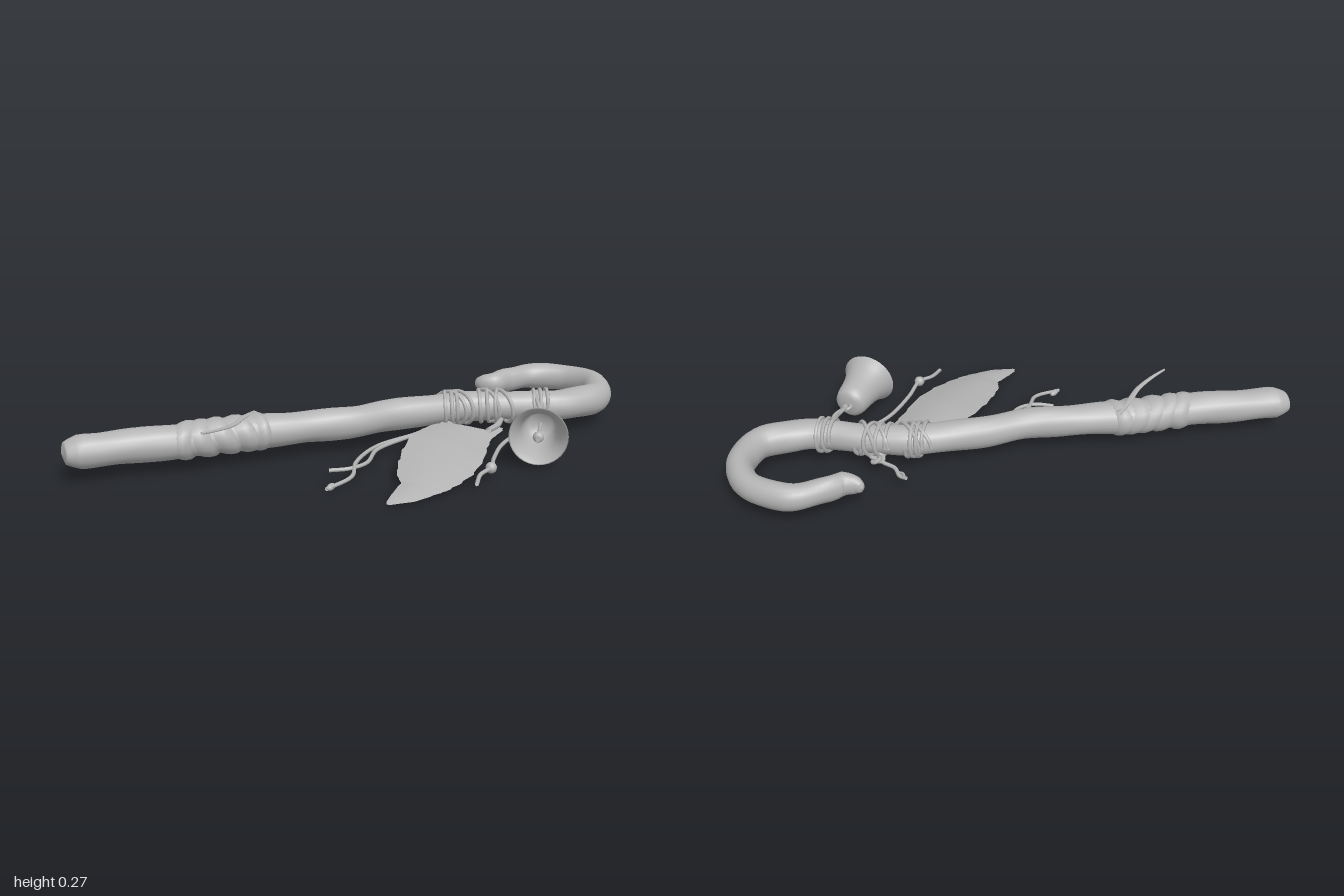
import * as THREE from 'three';

const grey = new THREE.MeshStandardMaterial({ color: 0xb3b3b3, side: THREE.DoubleSide });
grey.name = 'grey';
const V = (x, y, z) => new THREE.Vector3(x, y, z);
const MID = 0.14; // height of the staff's centre line

// staff stations: x, z, sideways radius, vertical radius
const stations = [
  [-0.857, 0.99, 0, 0], [-0.85, 0.98, 0.055, 0.045], [-0.815, 0.938, 0.074, 0.07], [-0.69, 0.81, 0.072, 0.073],
  [-0.53, 0.65, 0.078, 0.073], [-0.3, 0.395, 0.078, 0.073], [-0.145, 0.25, 0.066, 0.07], [0.0, 0.1, 0.066, 0.07],
  [0.125, -0.08, 0.066, 0.07], [0.295, -0.265, 0.07, 0.068], [0.425, -0.37, 0.064, 0.066], [0.61, -0.465, 0.062, 0.066],
  [0.75, -0.575, 0.075, 0.07], [0.825, -0.71, 0.066, 0.07], [0.785, -0.86, 0.062, 0.07], [0.62, -0.945, 0.053, 0.064],
  [0.455, -0.895, 0.056, 0.06], [0.37, -0.78, 0.047, 0.056], [0.34, -0.7, 0.047, 0.054], [0.29, -0.672, 0.032, 0.042],
  [0.26, -0.672, 0.018, 0.024], [0.25, -0.675, 0, 0],
];
const path = new THREE.CatmullRomCurve3(stations.map(s => V(s[0], MID, s[1])));

// point on the staff at station s (fractional), angle a, lifted by some distance
function staffPoint(s, a, lift = 0) {
  const last = stations.length - 1;
  const c = THREE.MathUtils.clamp(s, 0, last);
  const i = Math.min(Math.floor(c), last - 1), f = c - i;
  const r = THREE.MathUtils.lerp(stations[i][2], stations[i + 1][2], f) + lift;
  const h = THREE.MathUtils.lerp(stations[i][3], stations[i + 1][3], f) + lift;
  const t = path.getTangent(c / last);
  const n = V(0, 1, 0).cross(t).normalize();
  return path.getPoint(c / last).addScaledVector(n, r * Math.cos(a)).add(V(0, h * Math.sin(a), 0));
}

// grid of points at(u, v) with u and v from 0 to 1
function surface(at, nu, nv, closed = false) {
  const pos = [], index = [], row = closed ? nv : nv + 1;
  for (let i = 0; i <= nu; i++)
    for (let j = 0; j < row; j++) pos.push(...at(i / nu, j / nv).toArray());
  for (let i = 0; i < nu; i++)
    for (let j = 0; j < nv; j++) {
      const k = (j + 1) % row;
      const a = i * row + j, b = (i + 1) * row + j, c = i * row + k, d = (i + 1) * row + k;
      index.push(a, c, b, b, c, d);
    }
  const g = new THREE.BufferGeometry();
  g.setAttribute('position', new THREE.Float32BufferAttribute(pos, 3));
  g.setIndex(index);
  g.computeVertexNormals();
  return g;
}

export function createModel() {
  const model = new THREE.Group();
  model.name = 'crookedStaff';
  const add = (name, geometry, parent = model) => {
    const m = new THREE.Mesh(geometry, grey);
    m.name = name;
    parent.add(m);
    return m;
  };
  const cord = (name, pts, r = 0.009) => {
    const curve = new THREE.CatmullRomCurve3(pts.map(p => (p.isVector3 ? p : V(...p))));
    return add(name, new THREE.TubeGeometry(curve, pts.length * 6, r, 6));
  };
  const ball = (name, r, x, y, z, parent) => {
    const m = add(name, new THREE.SphereGeometry(r, 12, 8), parent);
    m.position.set(x, y, z);
    return m;
  };

  // gnarled wooden staff with a hooked end
  const last = stations.length - 1;
  add('staff', surface((u, v) => {
    const s = u * last, a = v * Math.PI * 2;
    const knots = s > 2 && s < 18 ? 0.003 * Math.sin(s * 4.1 + 2 * Math.cos(a)) : 0;
    return staffPoint(s, a, knots);
  }, 126, 18, true));

  // leather grip: overlapping slanted bands
  for (let i = 0; i < 5; i++) {
    const s0 = 3.95 + i * 0.22;
    add('gripBand', surface((u, v) => {
      const a = v * Math.PI * 2;
      const lift = [-0.006, 0.004, 0.01, 0.008, -0.006][Math.round(u * 4)];
      return staffPoint(s0 + u * 0.3 + 0.09 * Math.cos(a + i * 0.8), a, lift);
    }, 4, 20, true));
  }

  // loose end of the grip leather
  const strap = new THREE.CatmullRomCurve3([
    V(-0.345, 0.205, 0.35), V(-0.335, 0.215, 0.45), V(-0.315, 0.218, 0.56), V(-0.325, 0.228, 0.67), V(-0.342, 0.236, 0.74)]);
  add('gripTail', surface((u, v) => {
    const a = v * Math.PI * 2, w = 0.015 * (1 - 0.7 * u * u);
    return strap.getPoint(u).add(V(w * Math.cos(a), 0.006 * Math.sin(a), 0));
  }, 16, 8, true));

  // cord windings: start station, end station, turns, slant
  [[8.85, 9.25, 3, 0.12], [9.0, 9.45, 2, -0.2], [9.75, 10.4, 3, 0.1],
    [9.95, 10.55, 2, -0.18], [11.0, 11.4, 2.5, 0.08]].forEach(([s0, s1, turns, slant]) => {
    const pts = [];
    const n = Math.round(turns * 12);
    for (let i = 0; i <= n; i++) {
      const a = (i / n) * turns * Math.PI * 2;
      pts.push(staffPoint(s0 + (s1 - s0) * i / n + slant * Math.cos(a), a, 0.007));
    }
    cord('cordWinding', pts, 0.009);
  });

  // hanging cord ends
  cord('leftCordLong', [[0.27, 0.08, -0.22], [0.22, 0.065, -0.08], [0.13, 0.06, 0.13], [0.135, 0.055, 0.33], [0.175, 0.04, 0.44], [0.13, 0.025, 0.57]]);
  cord('leftCordShort', [[0.3, 0.08, -0.2], [0.21, 0.07, 0.0], [0.15, 0.06, 0.17], [0.17, 0.05, 0.3], [0.13, 0.045, 0.38], [0.06, 0.04, 0.425]]);
  ball('leftCordKnot', 0.014, 0.135, 0.025, 0.54).scale.z = 2;
  cord('rightCord', [[0.645, 0.08, -0.37], [0.61, 0.065, -0.26], [0.6, 0.06, -0.13], [0.635, 0.065, 0.05], [0.67, 0.075, 0.165], [0.655, 0.07, 0.24], [0.672, 0.06, 0.32]]);
  ball('rightCordBead', 0.024, 0.67, 0.075, 0.165);
  cord('backCord', [[0.43, 0.09, -0.41], [0.37, 0.08, -0.43], [0.3, 0.075, -0.425], [0.25, 0.07, -0.45], [0.215, 0.07, -0.445]]);
  cord('backCordFork', [[0.27, 0.073, -0.44], [0.24, 0.08, -0.44], [0.215, 0.085, -0.46]], 0.007);

  // knots
  [[0.395, 0.09, -0.435], [0.645, 0.085, -0.375], [0.31, 0.08, -0.19]].forEach(p => {
    const k = add('knot', new THREE.TorusKnotGeometry(0.02, 0.009, 40, 6, 2, 3));
    k.position.set(...p);
    k.rotation.x = Math.PI / 2;
  });

  // feather: left edge x, right edge x at each z, ragged and cupped
  const vane = [[-0.32, 0.495, 0.535], [-0.235, 0.48, 0.535], [-0.195, 0.37, 0.535], [-0.165, 0.305, 0.54], [-0.08, 0.272, 0.56],
    [0.055, 0.255, 0.597], [0.19, 0.278, 0.607], [0.3, 0.312, 0.59], [0.375, 0.345, 0.568], [0.42, 0.39, 0.545], [0.51, 0.395, 0.498], [0.585, 0.405, 0.42]];
  const featherPoint = (u, v, drop) => {
    const f = u * (vane.length - 1), i = Math.min(Math.floor(f), vane.length - 2), k = f - i;
    const [z, l, r] = vane[i].map((q, n) => THREE.MathUtils.lerp(q, vane[i + 1][n], k));
    const rag = 0.008 * ((u * 13) % 1) * Math.sin(u * Math.PI);
    const x = THREE.MathUtils.lerp(l + rag, r - rag, v);
    const droop = 0.11 * Math.max(0, z - 0.05) ** 1.1;
    const tilt = -0.2 * (x - 0.43) * (1 - 0.6 * u);
    const cup = 0.02 * Math.sin(v * Math.PI) * Math.sin(u * Math.PI);
    return V(x, 0.085 + tilt + cup - droop - drop, z);
  };
  add('featherTop', surface((u, v) => featherPoint(u, v, 0), 66, 10));
  add('featherUnderside', surface((u, v) => featherPoint(u, 1 - v, 0.008), 66, 10));
  cord('featherQuill', [[0.5, 0.09, -0.38], [0.515, 0.085, -0.3], [0.51, 0.09, -0.2]], 0.014);

  // bell, modelled along +y from crown to mouth, then swung to hang toward the front
  const bell = new THREE.Group();
  bell.name = 'bell';
  model.add(bell);
  const profile = [[0, 0], [0.045, 0.003], [0.068, 0.018], [0.077, 0.05], [0.082, 0.1], [0.09, 0.145], [0.105, 0.19], [0.124, 0.222],
    [0.118, 0.226], [0.096, 0.19], [0.078, 0.14], [0.068, 0.06], [0.05, 0.02], [0, 0.015]];
  add('bellShell', new THREE.LatheGeometry(profile.map(p => new THREE.Vector2(...p)), 36), bell);
  add('bellLoop', new THREE.TorusGeometry(0.02, 0.008, 8, 16), bell).position.y = -0.012;
  add('clapperRod', new THREE.CylinderGeometry(0.008, 0.008, 0.21, 8), bell).position.y = 0.115;
  ball('clapper', 0.024, 0, 0.225, 0, bell);
  add('clapperTip', new THREE.CylinderGeometry(0.012, 0.009, 0.03, 8), bell).position.y = 0.25;
  bell.position.set(0.725, 0.14, -0.265);
  bell.quaternion.setFromUnitVectors(V(0, 1, 0), V(0.29, 0.08, 0.95).normalize());

  // cords carrying the bell
  cord('bellCord', [[0.62, 0.2, -0.5], [0.65, 0.19, -0.42], [0.69, 0.16, -0.36], [0.72, 0.145, -0.28]]);
  cord('bellCord', [[0.66, 0.09, -0.5], [0.69, 0.1, -0.43], [0.73, 0.13, -0.35], [0.725, 0.14, -0.28]]);

  return model;
}
